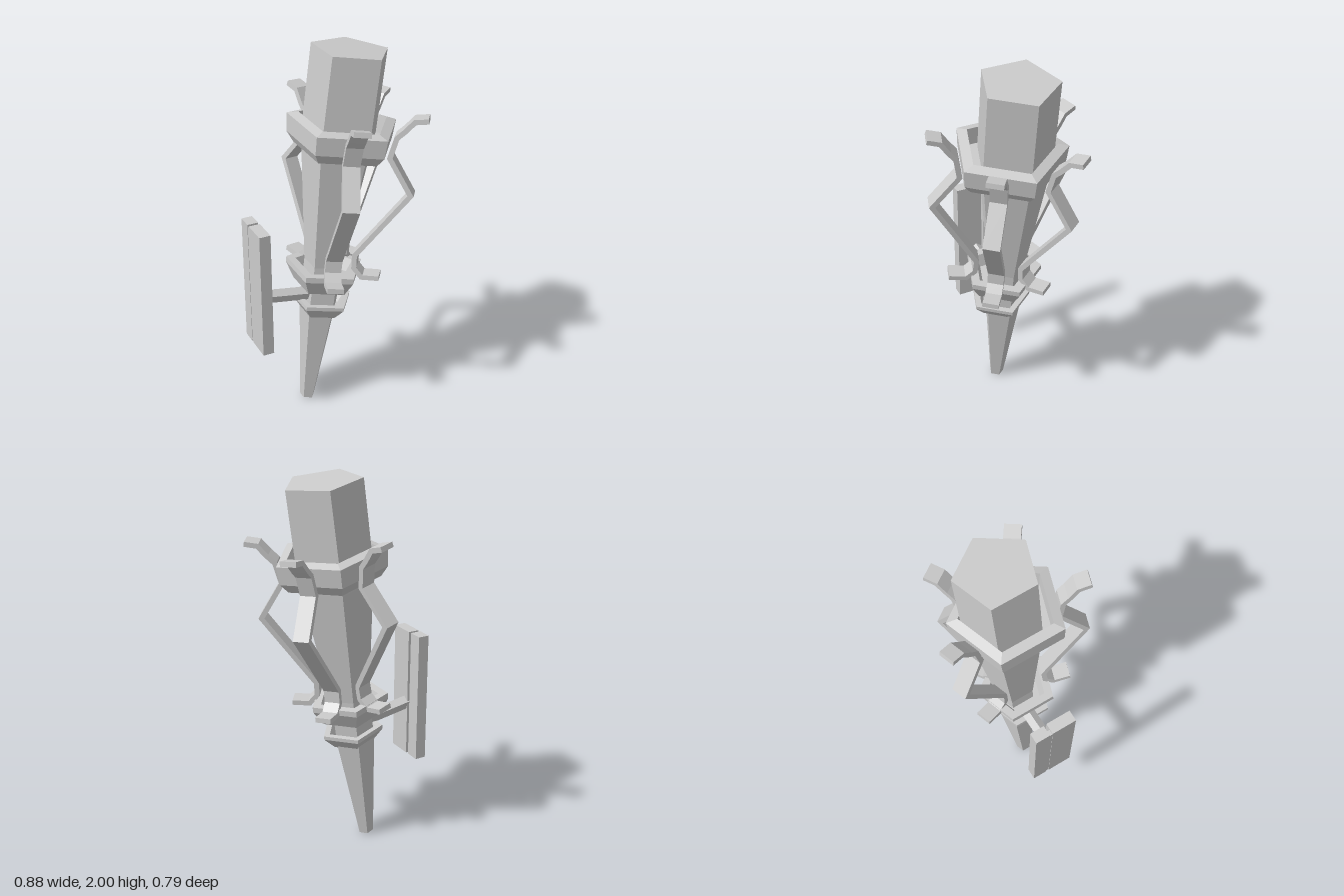
import * as THREE from 'three';

const material = new THREE.MeshStandardMaterial({ color: 0xcccccc, flatShading: true });

function addMesh(parent, name, geometry) {
  const mesh = new THREE.Mesh(geometry, material);
  mesh.name = name;
  parent.add(mesh);
  return mesh;
}

// Five-sided turned part, corner towards +x; profile is [radius, height] pairs
function pentagon(profile) {
  const points = profile.map(([r, y]) => new THREE.Vector2(r, y));
  return new THREE.LatheGeometry(points, 5, Math.PI / 2);
}

// Flat bar bent along a path: the path is thickened with mitred corners, then extruded
function bentBar(path, thickness, width) {
  const pts = path.map(([x, y]) => new THREE.Vector2(x, y));
  const normal = (a, b) => {
    const d = b.clone().sub(a).normalize();
    return new THREE.Vector2(-d.y, d.x);
  };
  const left = [], right = [];
  pts.forEach((p, i) => {
    const n0 = normal(pts[Math.max(i - 1, 0)], pts[Math.max(i, 1)]);
    const last = pts.length - 1;
    const n1 = normal(pts[Math.min(i, last - 1)], pts[Math.min(i + 1, last)]);
    const m = n0.clone().add(n1).normalize();
    m.multiplyScalar(thickness / 2 / m.dot(n1));
    left.push(p.clone().add(m));
    right.unshift(p.clone().sub(m));
  });
  const geometry = new THREE.ExtrudeGeometry(new THREE.Shape([...left, ...right]), {
    depth: width, bevelEnabled: false,
  });
  return geometry.translate(0, 0, -width / 2);
}

export function createModel() {
  const model = new THREE.Group();
  model.name = 'wallTorch';

  // Leaning torch, built upright from its tip
  const torch = new THREE.Group();
  torch.name = 'torch';
  torch.position.set(-0.142, 0.008, 0);
  torch.rotation.z = -0.131;
  model.add(torch);

  // Tapered shaft and head
  addMesh(torch, 'shaft', pentagon([
    [0, 0], [0.04, 0], [0.105, 0.58], [0.107, 0.84], [0.19, 1.46], [0.2, 1.55], [0.2, 1.99], [0, 1.99],
  ])).position.z = -0.033;

  // Hollow collars and the ring around the head
  addMesh(torch, 'lowerCollar', pentagon([
    [0.07, 0.56], [0.11, 0.56], [0.166, 0.625], [0.166, 0.645], [0.13, 0.645], [0.1, 0.59], [0.07, 0.59],
  ])).position.z = -0.012;
  addMesh(torch, 'upperCollar', pentagon([
    [0.07, 0.72], [0.16, 0.72], [0.21, 0.805], [0.21, 0.835], [0.16, 0.835], [0.13, 0.77], [0.07, 0.77],
  ])).position.z = -0.018;
  addMesh(torch, 'headRing', pentagon([
    [0.17, 1.48], [0.245, 1.48], [0.285, 1.53], [0.293, 1.625], [0.235, 1.64], [0.225, 1.55], [0.17, 1.55],
  ])).position.z = -0.007;

  // Bent straps on four of the five sides; the wall side stays clear
  const strapPath = [
    [0.275, 0.825], [0.185, 0.815], [0.14, 0.86], [0.135, 0.93], [0.37, 1.31],
    [0.24, 1.49], [0.26, 1.6], [0.295, 1.64], [0.335, 1.695], [0.4, 1.71],
  ];
  const strapGeometry = bentBar(strapPath, 0.026, 0.085);
  for (const degrees of [36, 108, 252, 324]) {
    const strap = addMesh(torch, 'strap', strapGeometry);
    strap.position.set(0.008, 0, -0.004);
    strap.rotation.y = -THREE.MathUtils.degToRad(degrees);
  }

  // Wall bracket: two planks on a thin backing
  const bracket = new THREE.Group();
  bracket.name = 'wallBracket';
  model.add(bracket);
  const board = (name, x0, x1, y0, y1, z0, z1) =>
    addMesh(bracket, name, new THREE.BoxGeometry(x1 - x0, y1 - y0, z1 - z0))
      .position.set((x0 + x1) / 2, (y0 + y1) / 2, (z0 + z1) / 2);
  board('widePlank', -0.44, -0.38, 0.435, 1.135, -0.055, 0.08);
  board('narrowPlank', -0.44, -0.382, 0.435, 1.135, -0.15, -0.072);
  board('backing', -0.438, -0.41, 0.445, 1.12, -0.14, 0.07);

  // Five-sided arm between the wall and the shaft
  const start = new THREE.Vector3(-0.4, 0.728, -0.024);
  const end = new THREE.Vector3(-0.07, 0.67, -0.024);
  const direction = end.clone().sub(start);
  const armGeometry = new THREE.CylinderGeometry(0.037, 0.037, direction.length(), 5);
  armGeometry.rotateY(-Math.PI / 2);
  const arm = addMesh(bracket, 'arm', armGeometry);
  arm.position.copy(start).lerp(end, 0.5);
  arm.quaternion.setFromUnitVectors(new THREE.Vector3(0, 1, 0), direction.normalize());

  return model;
}
